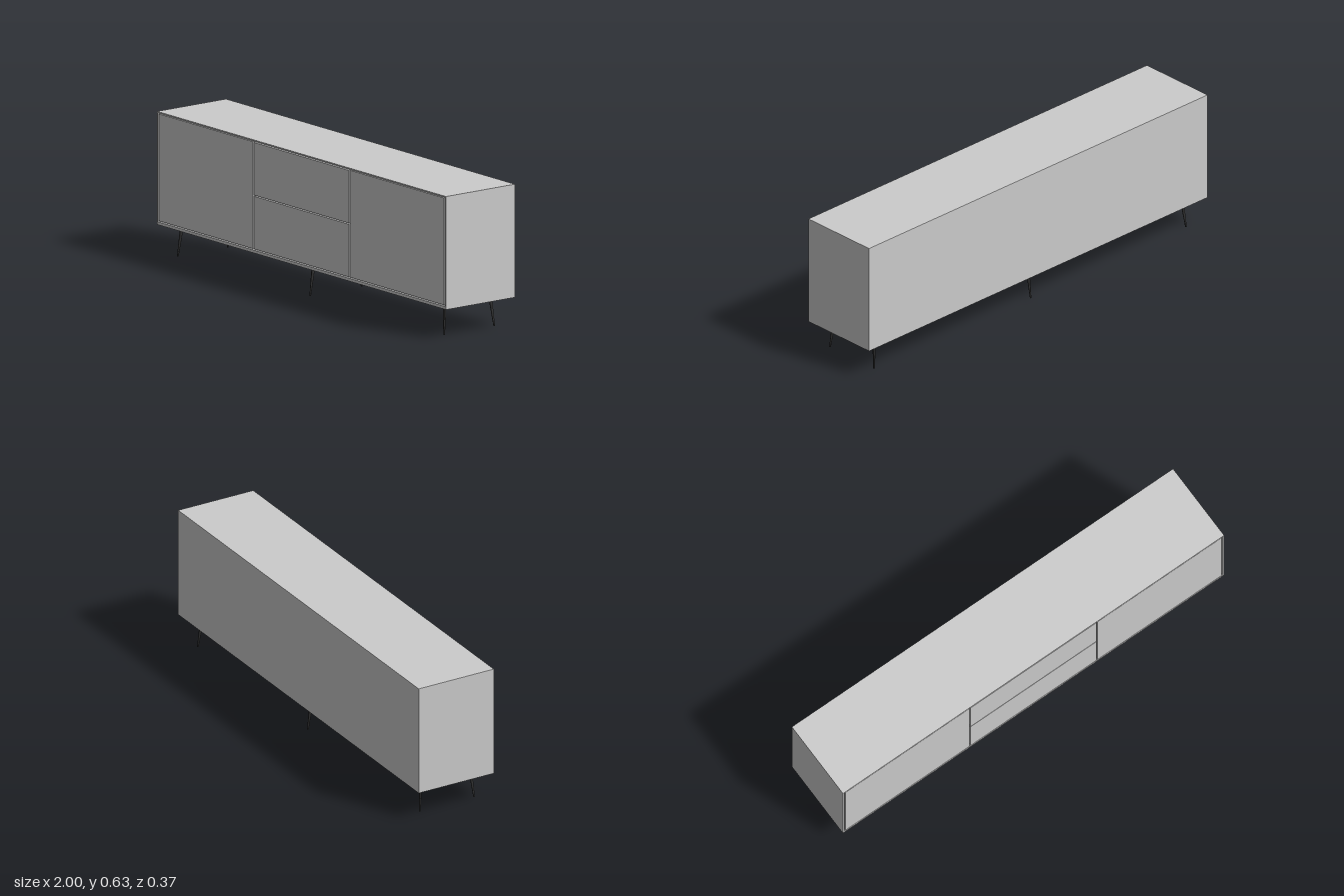
import * as THREE from 'three';

const grey = new THREE.MeshStandardMaterial({ color: 0xcccccc });
const dark = new THREE.MeshStandardMaterial({ color: 0x333333 });

// Box given by its minimum and maximum corners
function slab(name, x0, x1, y0, y1, z0, z1) {
  const mesh = new THREE.Mesh(new THREE.BoxGeometry(x1 - x0, y1 - y0, z1 - z0), grey);
  mesh.position.set((x0 + x1) / 2, (y0 + y1) / 2, (z0 + z1) / 2);
  mesh.name = name;
  return mesh;
}

// Tapered post whose ends stay level, leaning outward along +z
function slantedPost(topZ, topR, footZ, footR, height) {
  const geo = new THREE.CylinderGeometry(1, 1, 1, 12);
  const p = geo.attributes.position;
  for (let i = 0; i < p.count; i++) {
    const t = p.getY(i) + 0.5;
    const r = footR + (topR - footR) * t;
    p.setXYZ(i, p.getX(i) * r, t * height, p.getZ(i) * r + footZ + (topZ - footZ) * t);
  }
  geo.computeVertexNormals();
  return geo;
}

// Leg with its mounting arm; the inner arm end is at the local origin
function makeLeg(name, x, z, angle, baseY) {
  const leg = new THREE.Group();
  leg.name = name;
  const post = new THREE.Mesh(slantedPost(0.086, 0.008, 0.104, 0.0035, baseY), dark);
  post.name = 'legPost';

  // Arm: flat against the cabinet, thinner towards the inner end
  const profile = new THREE.Shape([
    new THREE.Vector2(0, baseY), new THREE.Vector2(0, baseY - 0.01),
    new THREE.Vector2(0.08, baseY - 0.017), new THREE.Vector2(0.088, baseY),
  ]);
  const armGeo = new THREE.ExtrudeGeometry(profile, { depth: 0.012, bevelEnabled: false });
  armGeo.translate(0, 0, -0.006).rotateY(-Math.PI / 2);
  const arm = new THREE.Mesh(armGeo, dark);
  arm.name = 'legArm';

  leg.add(post, arm);
  leg.position.set(x, 0, z);
  leg.rotation.y = angle;
  return leg;
}

export function createModel() {
  const model = new THREE.Group();
  model.name = 'sideboard';

  const bottom = 0.132, top = 0.627, depth = 0.186;
  const side = 0.008, gap = 0.005, frontT = 0.014;
  const floorTop = bottom + 0.013, ceiling = top - 0.006;

  // Carcass
  model.add(
    slab('topPanel', -1, 1, ceiling, top, -depth, depth),
    slab('bottomPanel', -1, 1, bottom, floorTop, -depth, depth),
    slab('rightSide', -1, -1 + side, floorTop, ceiling, -depth, depth),
    slab('leftSide', 1 - side, 1, floorTop, ceiling, -depth, depth),
    slab('cabinetCore', -1 + side, 1 - side, floorTop, ceiling, -depth, depth - frontT - 0.002),
  );

  // Doors and drawers, separated by narrow gaps
  const z0 = depth - frontT, y0 = floorTop + gap, y1 = ceiling - 0.003;
  const xIn = 0.33, middle = 0.383;
  model.add(
    slab('rightDoor', -1 + side + gap, -xIn - gap, y0, y1, z0, depth),
    slab('leftDoor', xIn + gap, 1 - side - gap, y0, y1, z0, depth),
    slab('lowerDrawer', -xIn, xIn, y0, middle - gap / 2, z0, depth),
    slab('upperDrawer', -xIn, xIn, middle + gap / 2, y1 - 0.002, z0, depth),
  );

  // Corner legs point out diagonally, middle legs straight to front and back
  for (const sz of [1, -1]) {
    const end = sz > 0 ? 'front' : 'back';
    model.add(makeLeg(end + 'MiddleLeg', 0, sz * 0.035, sz > 0 ? 0 : Math.PI, bottom));
    for (const sx of [1, -1]) {
      const name = end + (sx > 0 ? 'LeftLeg' : 'RightLeg');
      model.add(makeLeg(name, sx * 0.848, sz * 0.0615, Math.atan2(sx, sz), bottom));
    }
  }
  return model;
}
